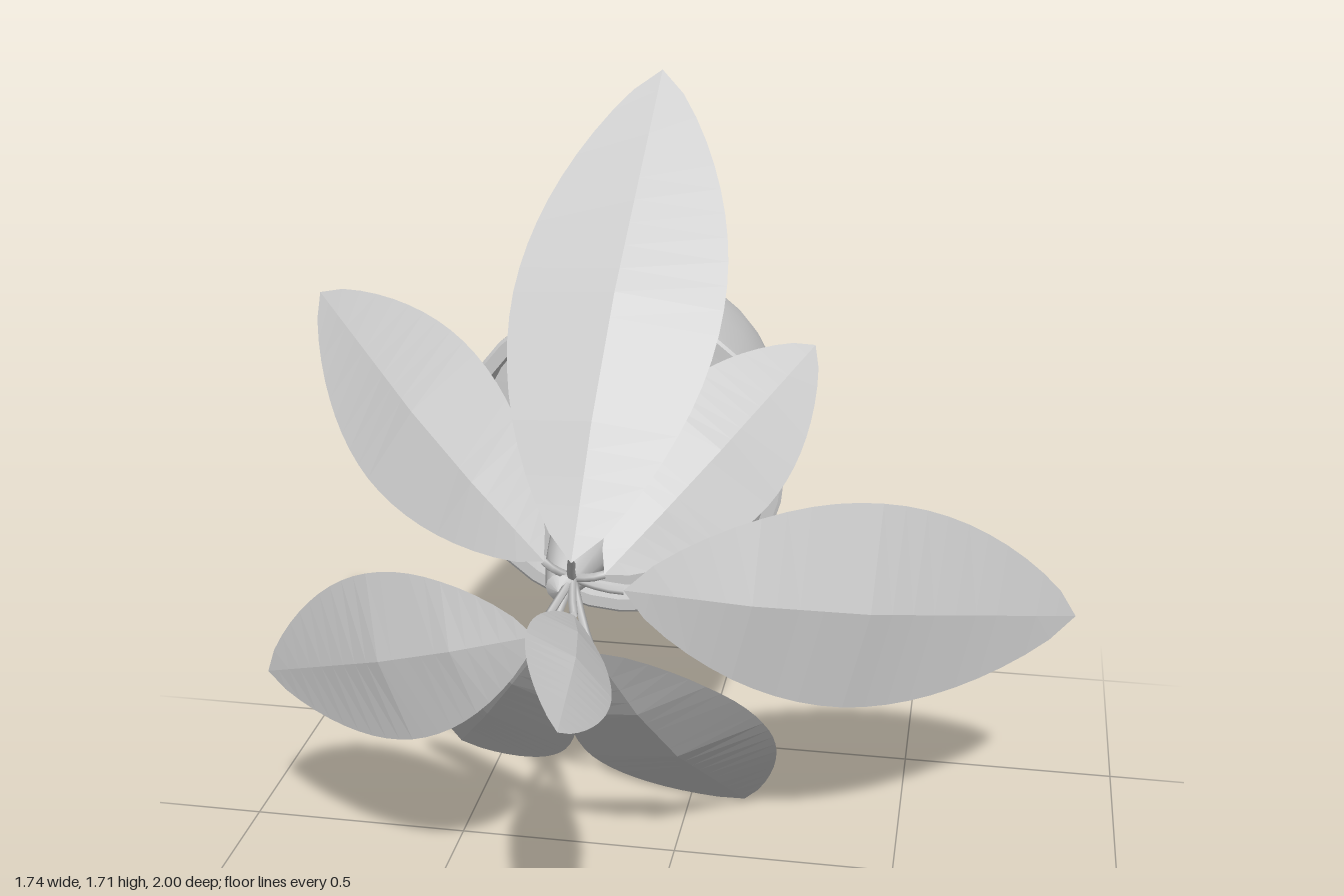
import * as THREE from 'three';
import { toCreasedNormals } from 'three/addons/utils/BufferGeometryUtils.js';

const V = (a) => new THREE.Vector3(...a);
const material = new THREE.MeshStandardMaterial({ color: 0xcccccc, side: THREE.DoubleSide });
const leafMaterial = new THREE.MeshStandardMaterial({ color: 0xcccccc, side: THREE.DoubleSide, flatShading: true });

// Surface of revolution about z, from [radius, z] pairs
function turned(name, profile, x, y, segments) {
  const points = profile.map(([r, z]) => new THREE.Vector2(r, z));
  const geometry = toCreasedNormals(new THREE.LatheGeometry(points, segments), 0.6);
  const mesh = new THREE.Mesh(geometry, material);
  mesh.name = name;
  mesh.rotation.x = Math.PI / 2;
  mesh.position.set(x, y, 0);
  return mesh;
}

// Height of the folded midrib above the leaf plane, as a share of the half width
function ribHeight(t) {
  const keys = [[0, 0], [0.25, 0.23], [0.5, 0.28], [1, 0]];
  const i = keys.findIndex((k, j) => j > 0 && t <= k[0] + 1e-6);
  const [a, b] = [keys[i - 1], keys[i]];
  return THREE.MathUtils.lerp(a[1], b[1], (t - a[0]) / (b[0] - a[0]));
}

// Pointed leaf blade: rows of left edge, midrib, right edge
function leafBlade(base, tip, across, halfWidth) {
  const along = tip.clone().sub(base);
  const dir = along.clone().normalize();
  const w = across.clone().addScaledVector(dir, -across.dot(dir)).normalize();
  let n = w.clone().cross(dir);
  if (n.dot(new THREE.Vector3(0.1, 0.5, 1)) < 0) {
    w.negate();
    n = w.clone().cross(dir);
  }
  const rows = 20, positions = [], index = [];
  for (let i = 0; i <= rows; i++) {
    const t = i / rows;
    const half = halfWidth * Math.pow(Math.max(0, Math.sin(Math.PI * t)), 0.75);
    const rise = ribHeight(t) * halfWidth;
    for (const side of [-1, 0, 1]) {
      const p = base.clone().addScaledVector(along, t)
        .addScaledVector(w, side * half)
        .addScaledVector(n, side === 0 ? rise : rise * 0.3);
      positions.push(p.x, p.y, p.z);
    }
    if (i < rows) {
      for (const c of [0, 1]) {
        const a = i * 3 + c;
        index.push(a, a + 1, a + 4, a, a + 4, a + 3);
      }
    }
  }
  const geometry = new THREE.BufferGeometry();
  geometry.setAttribute('position', new THREE.Float32BufferAttribute(positions, 3));
  geometry.setIndex(index);
  geometry.computeVertexNormals();
  return geometry;
}

export function createModel() {
  const model = new THREE.Group();
  model.name = 'pottedPlant';

  // Pot: bulging wall, rim, inner wall and soil
  model.add(turned('pot', [
    [0, -1], [0.295, -1], [0.325, -0.9], [0.355, -0.77], [0.378, -0.62],
    [0.392, -0.47], [0.395, -0.435], [0.388, -0.43], [0.36, -0.43], [0.352, -0.5],
  ], -0.207, 0.783, 32));
  model.add(turned('soil', [[0.355, -0.5], [0, -0.49]], -0.207, 0.783, 32));

  // Tapered stem
  model.add(turned('stem', [
    [0.125, -0.5], [0.117, -0.4], [0.095, -0.15], [0.078, 0.02], [0.058, 0.15], [0.03, 0.27], [0, 0.29],
  ], -0.19, 0.788, 12));

  // Leaves: base, tip, direction across the blade, half width
  const leaves = [
    ['topLeaf', [-0.14, 0.9, 0.385], [-0.09, 1.715, -0.385], [1, 0, 0], 0.22],
    ['upperRightLeaf', [-0.22, 0.85, 0.28], [-0.87, 1.2, -0.32], [0.18, 0.29, -0.13], 0.18],
    ['upperLeftLeaf', [-0.1, 0.82, 0.26], [0.265, 1.15, -0.28], [-0.18, 0.29, -0.13], 0.155],
    ['sideLeftLeaf', [-0.06, 0.79, 0.265], [0.865, 0.585, -0.19], [0.25, 0.96, -0.2], 0.23],
    ['sideRightLeaf', [-0.2, 0.77, 0.455], [-0.87, 0.49, 0.18], [-0.42, 0.91, -0.28], 0.18],
    ['lowerLeftLeaf', [-0.1, 0.71, 0.39], [0.13, 0.005, -0.25], [0.99, 0.31, 0.01], 0.2],
    ['lowerRightLeaf', [-0.19, 0.73, 0.38], [-0.595, 0.045, -0.34], [0.83, -0.57, 0.03], 0.19],
    ['frontLeaf', [-0.14, 0.78, 0.37], [-0.03, 0.88, 1], [-0.15, 0.12, 0], 0.1],
  ];
  const crown = new THREE.Vector3(-0.17, 0.8, 0.24);
  for (const [name, b, t, across, half] of leaves) {
    const base = V(b), tip = V(t), leaf = new THREE.Group();
    leaf.name = name;
    const blade = new THREE.Mesh(leafBlade(base, tip, V(across), half), leafMaterial);
    blade.name = 'blade';

    // Short stalk joining the blade to the stem
    const bend = crown.clone().lerp(base, 0.6);
    bend.z += 0.02;
    const curve = new THREE.QuadraticBezierCurve3(crown, bend, base);
    const stalk = new THREE.Mesh(new THREE.TubeGeometry(curve, 4, 0.009, 5), material);
    stalk.name = 'stalk';
    leaf.add(blade, stalk);
    model.add(leaf);
  }
  return model;
}
